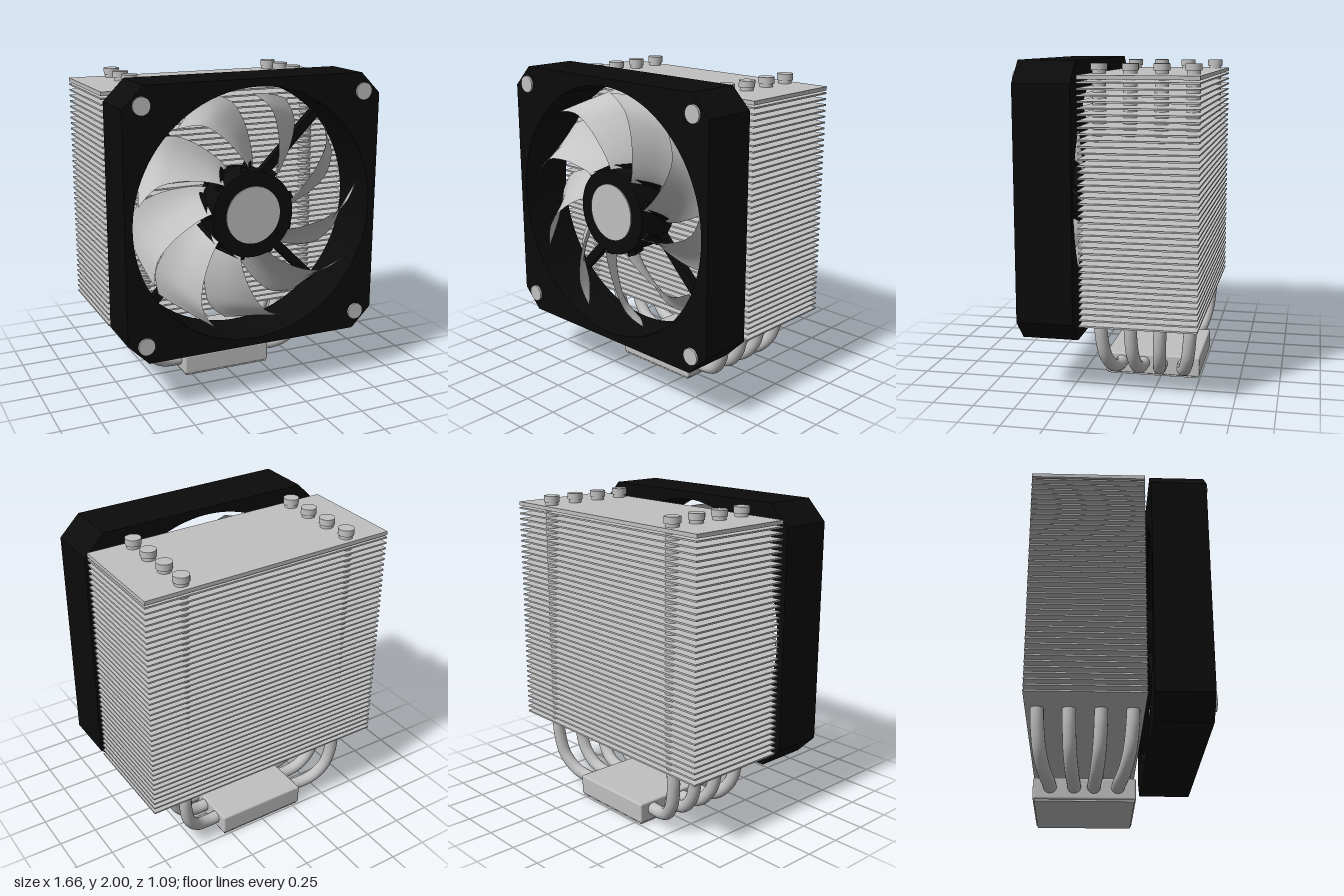
import * as THREE from 'three';
import { RoundedBoxGeometry } from 'three/addons/geometries/RoundedBoxGeometry.js';

const silver = new THREE.MeshStandardMaterial({ color: 0xc0c0c0 });
silver.name = 'silver metal';
const bladeGrey = new THREE.MeshStandardMaterial({ color: 0xc4c4c4, side: THREE.DoubleSide });
bladeGrey.name = 'blade grey';
const black = new THREE.MeshStandardMaterial({ color: 0x0b0b0b });
black.name = 'black plastic';

const FAN_Y = 1.17;
const FIN_Z = -0.1975;

function add(parent, name, geometry, material, x = 0, y = 0, z = 0) {
  const mesh = new THREE.Mesh(geometry, material);
  mesh.name = name;
  mesh.position.set(x, y, z);
  parent.add(mesh);
  return mesh;
}

// Disc or drum whose axis runs along z
function drum(radius, depth, segments = 48) {
  return new THREE.CylinderGeometry(radius, radius, depth, segments).rotateX(Math.PI / 2);
}

// Chamfered square frame with a round opening
function frameGeometry(depth) {
  const h = 0.83, c = 0.70;
  const shape = new THREE.Shape([
    [c, -h], [h, -c], [h, c], [c, h], [-c, h], [-h, c], [-h, -c], [-c, -h],
  ].map(([x, y]) => new THREE.Vector2(x, y)));
  const hole = new THREE.Path();
  hole.absarc(0, 0, 0.783, 0, Math.PI * 2, true);
  shape.holes.push(hole);
  return new THREE.ExtrudeGeometry(shape, { depth, bevelEnabled: false, curveSegments: 48 });
}

// Swept, pitched blade: rows run from hub to tip, columns from trailing to leading edge
function bladeGeometry() {
  const sweep = new THREE.CatmullRomCurve3([
    [0.25, 52], [0.4, 64], [0.54, 72.5], [0.65, 79.5], [0.737, 90.5],
  ].map(([r, a]) => new THREE.Vector3(r, a / 60, 0)));
  const rows = 18, cols = 10;
  const geo = new THREE.PlaneGeometry(1, 1, cols, rows);
  const pos = geo.attributes.position;
  for (let i = 0; i < pos.count; i++) {
    const s = pos.getX(i) + 0.5;
    const t = pos.getY(i) + 0.5;
    const p = sweep.getPoint(t);
    const a = THREE.MathUtils.degToRad(p.y * 60 - 27 * (1 - s));
    const r = p.x - 0.012 * t * Math.sin(Math.PI * s);
    const camber = 0.03 * Math.sin(Math.PI * s);
    pos.setXYZ(i, r * Math.cos(a), r * Math.sin(a), 0.36 + 0.22 * (s - 0.5) - camber);
  }
  geo.computeVertexNormals();
  return geo;
}

function makeFan() {
  const fan = new THREE.Group();
  fan.name = 'fan';
  fan.position.y = FAN_Y;
  add(fan, 'fanFrame', frameGeometry(0.342), black, 0, 0, 0.187);
  add(fan, 'hub', drum(0.267, 0.21), black, 0, 0, 0.378);
  add(fan, 'hubCap', drum(0.178, 0.02), silver, 0, 0, 0.48);
  add(fan, 'motorMount', drum(0.25, 0.07), black, 0, 0, 0.225);

  // Blades and their root ribs
  const blade = bladeGeometry();
  for (let i = 0; i < 9; i++) {
    const angle = (i * Math.PI * 2) / 9;
    add(fan, 'blade', blade, bladeGrey).rotation.z = angle;
    const root = new THREE.Group();
    root.name = 'bladeRoot';
    root.rotation.z = angle + 0.85;
    fan.add(root);
    add(root, 'rootRib', new THREE.BoxGeometry(0.06, 0.045, 0.2), black, 0.26, 0, 0.365).rotation.x = -0.55;
  }

  // Diagonal struts behind the blades and a mounting pad in each corner
  for (let i = 0; i < 4; i++) {
    const a = Math.PI / 4 + (i * Math.PI) / 2;
    const strut = add(fan, 'strut', new THREE.BoxGeometry(0.58, 0.06, 0.05), black,
      0.52 * Math.cos(a), 0.52 * Math.sin(a), 0.215);
    strut.rotation.z = a;
  }
  for (const x of [-0.716, 0.716]) {
    for (const y of [-0.716, 0.716]) add(fan, 'mountPad', drum(0.053, 0.03, 32), silver, x, y, 0.527);
  }
  return fan;
}

function makeFinStack() {
  const stack = new THREE.Group();
  stack.name = 'finStack';
  const fin = new THREE.BoxGeometry(1.66, 0.01, 0.695);
  for (let i = 0; i < 40; i++) add(stack, 'fin', fin, silver, 0, 0.467 + i * 0.0362, FIN_Z);
  add(stack, 'topPlate', new THREE.BoxGeometry(1.66, 0.024, 0.695), silver, 0, 1.908, FIN_Z);
  return stack;
}

// Pipes rise through the fins and bend inwards into the base block
function makeHeatPipes() {
  const pipes = new THREE.Group();
  pipes.name = 'heatPipes';
  const tops = [0.08, -0.105, -0.29, -0.475];
  const ends = [0.0, -0.14, -0.255, -0.395];
  for (const side of [-1, 1]) {
    tops.forEach((zTop, i) => {
      const zAt = (k) => zTop + (ends[i] - zTop) * k;
      const path = new THREE.CatmullRomCurve3([
        [0.565, 0.6, 0], [0.575, 0.46, 0], [0.572, 0.34, 0.08], [0.54, 0.21, 0.28],
        [0.465, 0.12, 0.62], [0.38, 0.087, 0.9], [0.28, 0.085, 1], [0.12, 0.085, 1],
      ].map(([x, y, k]) => new THREE.Vector3(side * x, y, zAt(k))));
      add(pipes, 'pipeBend', new THREE.TubeGeometry(path, 40, 0.04, 18), silver);
      add(pipes, 'pipe', new THREE.CylinderGeometry(0.041, 0.041, 1.36, 24), silver, side * 0.565, 1.26, zTop);
      add(pipes, 'pipeCap', new THREE.CylinderGeometry(0.049, 0.049, 0.04, 24), silver, side * 0.565, 1.96, zTop);
    });
  }
  return pipes;
}

export function createModel() {
  const model = new THREE.Group();
  model.name = 'towerCooler';
  model.add(makeFan(), makeFinStack(), makeHeatPipes());

  // Base block with a contact plate underneath
  add(model, 'baseBlock', new RoundedBoxGeometry(0.605, 0.13, 0.605, 2, 0.012), silver, 0, 0.075, FIN_Z + 0.003);
  add(model, 'contactPlate', new THREE.BoxGeometry(0.585, 0.02, 0.585), silver, 0, 0.01, FIN_Z + 0.003);
  return model;
}
